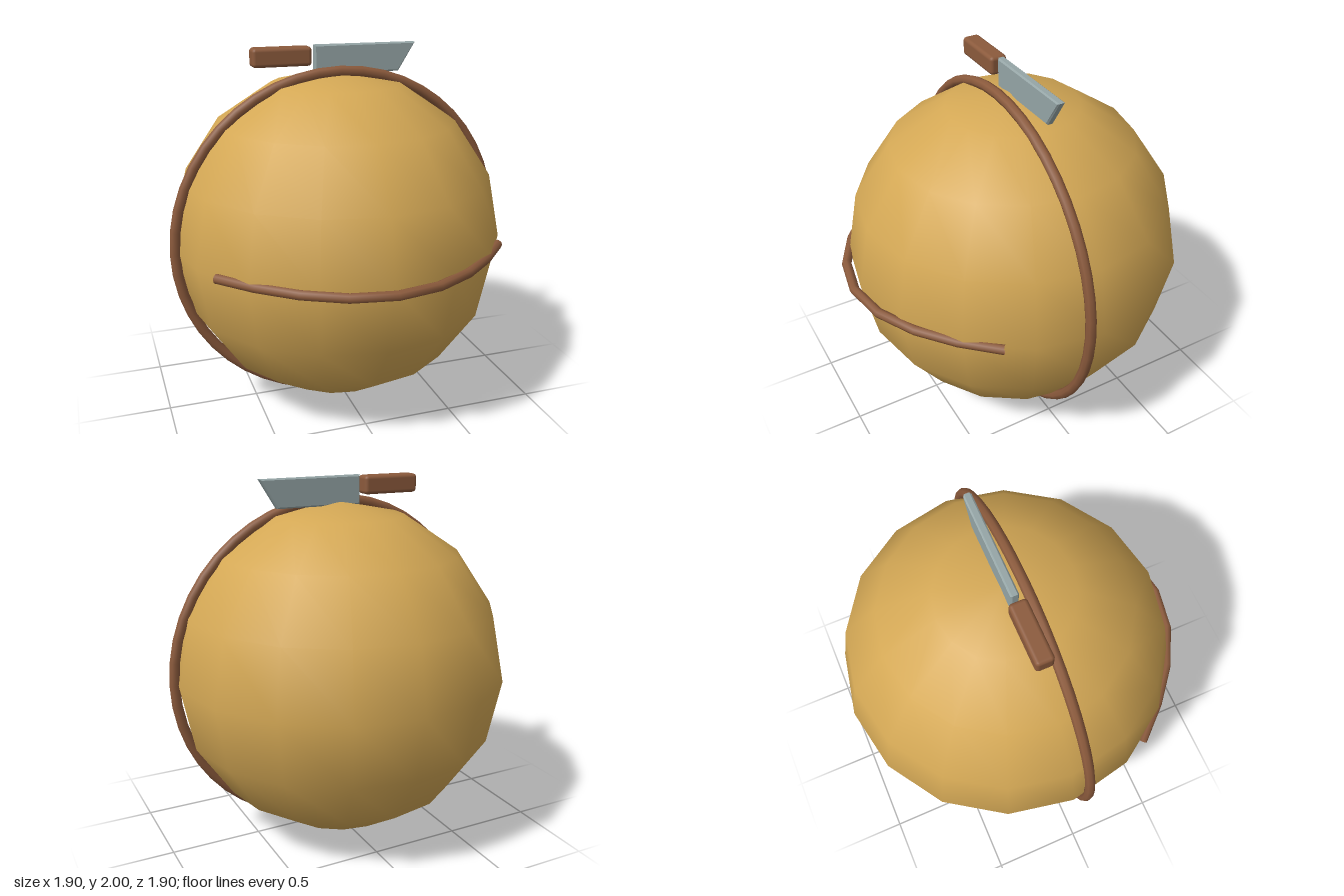
import * as THREE from 'three';
import { RoundedBoxGeometry } from 'three/addons/geometries/RoundedBoxGeometry.js';

const mat = (name, color) => {
  const m = new THREE.MeshStandardMaterial({ color });
  m.name = name;
  return m;
};

export function createModel() {
  const group = new THREE.Group();
  const gold = mat('golden', 0xd4a855);
  const brown = mat('brown', 0x8b5a3c);
  const steel = mat('steel grey', 0x95a5a6);
  brown.side = THREE.DoubleSide; // the mouth tube has open ends

  const add = (name, geometry, material, x, y, z) => {
    const mesh = new THREE.Mesh(geometry, material);
    mesh.name = name;
    mesh.position.set(x, y, z);
    group.add(mesh);
    return mesh;
  };

  const cy = 0.949;
  const cz = -0.033;

  // Round body, coarse but smoothly shaded
  add('body', new THREE.SphereGeometry(0.918, 16, 8), gold, 0, cy, cz);

  // Hoop around the body
  add('hoop', new THREE.TorusGeometry(0.92, 0.028, 8, 48), brown, 0, cy, 0.055);

  // Curved mouth that dips in and out of the body
  const mouthCurve = new THREE.QuadraticBezierCurve3(
    new THREE.Vector3(-0.773, 0, 0.452),
    new THREE.Vector3(0, 0, 1.388),
    new THREE.Vector3(0.773, 0, 0.452)
  );
  add('mouth', new THREE.TubeGeometry(mouthCurve, 8, 0.026, 8), brown, 0, cy, 0);

  // Knife handle
  add('knifeHandle', new RoundedBoxGeometry(0.32, 0.1, 0.095, 2, 0.02), brown, -0.3, 1.945, cz);

  // Knife blade with a slanted tip and narrow bevel
  const blade = new THREE.Shape([
    new THREE.Vector2(-0.112, 1.853),
    new THREE.Vector2(0.352, 1.853),
    new THREE.Vector2(0.441, 1.992),
    new THREE.Vector2(-0.112, 1.992),
  ]);
  const bladeGeometry = new THREE.ExtrudeGeometry(blade, {
    depth: 0.027, bevelEnabled: true, bevelThickness: 0.008, bevelSize: 0.008, bevelSegments: 1,
  });
  add('knifeBlade', bladeGeometry, steel, 0, 0, cz - 0.0135);

  return group;
}
